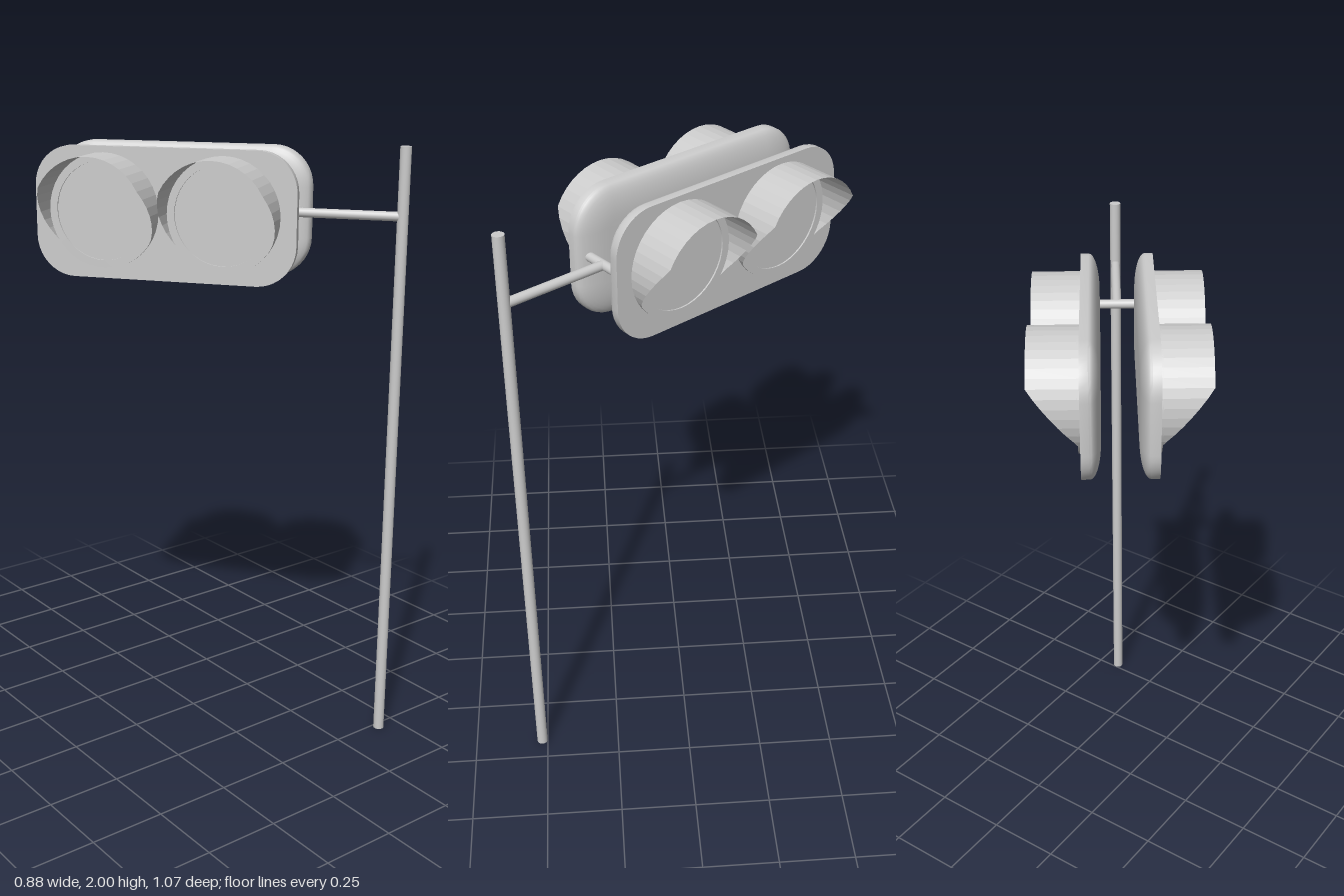
import * as THREE from 'three';
import { toCreasedNormals } from 'three/addons/utils/BufferGeometryUtils.js';

const grey = new THREE.MeshStandardMaterial({ color: 0xcccccc });
const thin = new THREE.MeshStandardMaterial({ color: 0xcccccc, side: THREE.DoubleSide, flatShading: true });

const LAMP_Y = 1.78;   // height of lamps and arms
const FACE_X = 0.113;  // outer face of a head, measured from the middle plane
const LAMP_R = 0.185;

function add(parent, name, geometry, material = grey) {
  const mesh = new THREE.Mesh(geometry, material);
  mesh.name = name;
  parent.add(mesh);
  return mesh;
}

// Round bar between two points
function bar(parent, name, from, to, radius) {
  const a = new THREE.Vector3(...from), b = new THREE.Vector3(...to);
  const dir = b.clone().sub(a);
  const mesh = add(parent, name, new THREE.CylinderGeometry(radius, radius, dir.length(), 20));
  mesh.position.copy(a).add(b).multiplyScalar(0.5);
  mesh.quaternion.setFromUnitVectors(new THREE.Vector3(0, 1, 0), dir.normalize());
  return mesh;
}

// Rounded rectangle outline, counter-clockwise seen from +x
function outline(x, inset) {
  const halfZ = 0.437, halfY = 0.212, r = 0.13, steps = 10, points = [];
  for (const [corner, sz, sy] of [[0, -1, 1], [1, 1, 1], [2, 1, -1], [3, -1, -1]]) {
    for (let i = 0; i <= steps; i++) {
      const a = (corner + i / steps) * Math.PI / 2;
      points.push([
        x,
        sy * (halfY - r) + Math.sin(a) * (r - inset),
        sz * (halfZ - r) - Math.cos(a) * (r - inset),
      ]);
    }
  }
  return points;
}

// Housing: flat face, short straight rim, rounded back
function housingGeometry() {
  const rim = 0.088, back = 0.055, roundness = 0.11;
  const rows = [outline(FACE_X, 0), outline(rim, 0)];
  for (let i = 1; i <= 8; i++) {
    const a = i / 8 * Math.PI / 2;
    rows.push(outline(rim - (rim - back) * Math.sin(a), roundness * (1 - Math.cos(a))));
  }
  const n = rows[0].length;
  rows.unshift(rows[0].map(() => [FACE_X, 0, 0]));
  rows.push(rows[0].map(() => [back, 0, 0]));
  const index = [];
  for (let r = 0; r < rows.length - 1; r++) {
    for (let j = 0; j < n; j++) {
      const k = (j + 1) % n;
      const a = r * n + j, b = (r + 1) * n + j, c = (r + 1) * n + k, d = r * n + k;
      if (r < rows.length - 2) index.push(a, b, c);
      else index.push(a, b, d);
      if (r > 0 && r < rows.length - 2) index.push(a, c, d);
    }
  }
  const geometry = new THREE.BufferGeometry();
  geometry.setAttribute('position', new THREE.Float32BufferAttribute(rows.flat(2), 3));
  geometry.setIndex(index);
  return toCreasedNormals(geometry, 0.7);
}

// Hood: open tube that is long above and slopes back to the face below
function visorGeometry() {
  const geometry = new THREE.CylinderGeometry(LAMP_R, LAMP_R, 1, 40, 1, true);
  geometry.rotateZ(-Math.PI / 2);
  const p = geometry.attributes.position;
  for (let i = 0; i < p.count; i++) {
    const reach = THREE.MathUtils.clamp(0.085 + 0.79 * p.getY(i), 0.004, 0.15);
    p.setX(i, p.getX(i) > 0 ? reach : 0);
  }
  geometry.computeVertexNormals();
  return geometry;
}

// Flat ring around the lens
function bezelGeometry() {
  const profile = [[0.16, 0], [0.16, 0.008], [LAMP_R, 0.008], [LAMP_R, 0]].map(q => new THREE.Vector2(...q));
  const geometry = new THREE.LatheGeometry(profile.reverse(), 40);
  geometry.rotateZ(-Math.PI / 2);
  return toCreasedNormals(geometry, 0.7);
}

function createHead(name) {
  const head = new THREE.Group();
  head.name = name;
  add(head, 'housing', housingGeometry()).position.y = 1.7725;
  for (const z of [-0.2, 0.2]) {
    const lamp = new THREE.Group();
    lamp.name = 'lamp';
    lamp.position.set(FACE_X, LAMP_Y, z);
    add(lamp, 'visor', visorGeometry(), thin);
    add(lamp, 'bezel', bezelGeometry());
    const lens = add(lamp, 'lens', new THREE.CircleGeometry(0.162, 40));
    lens.rotation.y = Math.PI / 2;
    lens.position.x = 0.003;
    head.add(lamp);
  }
  return head;
}

export function createModel() {
  const model = new THREE.Group();
  model.name = 'signalPost';

  // Everything is built along z, then turned about the upright axis
  const assembly = new THREE.Group();
  assembly.name = 'assembly';
  assembly.rotation.y = Math.PI / 5;
  model.add(assembly);

  // Post and arms
  const midX = 0.038, armZ = 0.32, postZ = 0.669;
  bar(assembly, 'post', [midX, 0, postZ], [midX, 2, postZ], 0.018);
  bar(assembly, 'arm', [midX, LAMP_Y + 0.005, postZ], [midX, LAMP_Y + 0.005, armZ], 0.015);
  bar(assembly, 'crossArm', [midX - 0.085, LAMP_Y + 0.005, armZ], [midX + 0.085, LAMP_Y + 0.005, armZ], 0.015);

  // Two heads back to back
  for (const [name, turn] of [['headOne', 0], ['headTwo', Math.PI]]) {
    const head = createHead(name);
    head.position.set(midX, 0, -0.078);
    head.rotation.y = turn;
    assembly.add(head);
  }
  return model;
}
